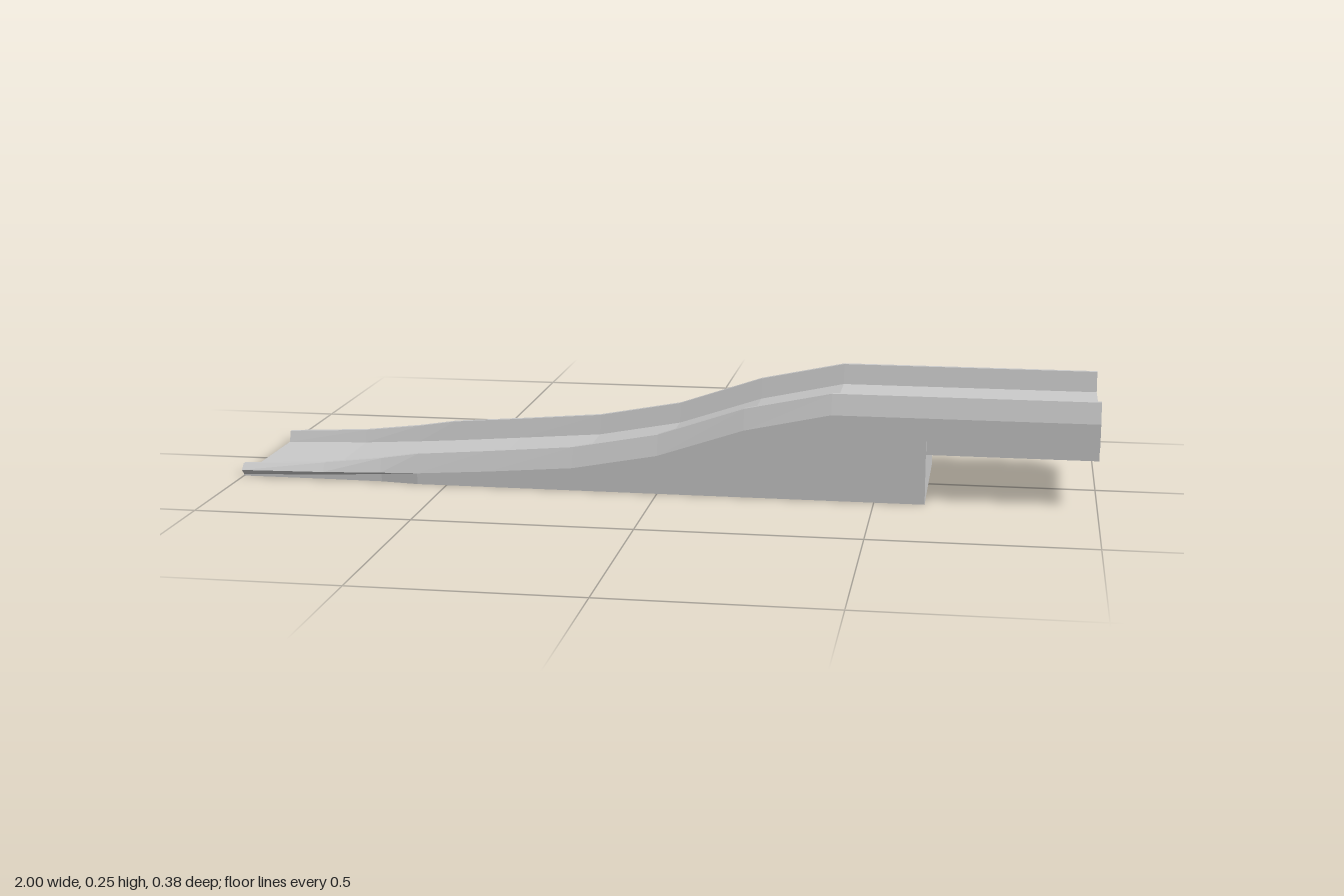
import * as THREE from 'three';

// Stations along the ramp: x, rail top, shoulder (outer rail edge), road height, wall z
const stations = [
  [-1, 0.03, 0.017, 0.004, 0.178],
  [-0.8, 0.04, 0.02, 0.01, 0.178],
  [-0.66, 0.056, 0.024, 0.018, 0.18],
  [-0.57, 0.07, 0.026, 0.024, 0.192],
  [-0.4, 0.083, 0.037, 0.037, 0.192],
  [-0.2, 0.1, 0.053, 0.053, 0.192],
  [0, 0.137, 0.09, 0.09, 0.192],
  [0.2, 0.205, 0.157, 0.157, 0.192],
  [0.4, 0.247, 0.2, 0.2, 0.192],
  [0.615, 0.247, 0.2, 0.2, 0.192],
  [1, 0.247, 0.2, 0.2, 0.192],
];
const STEP = 0.615;

const material = new THREE.MeshStandardMaterial({
  color: 0xcccccc, flatShading: true, side: THREE.DoubleSide,
});

// Joins cross-sections of [z, y] points along x into a faceted strip
function sweep(name, rows, section) {
  const pos = [];
  const rings = rows.map((s) => section(s).map(([z, y]) => [s[0], y, z]));
  for (let i = 0; i < rings.length - 1; i++) {
    for (let j = 0; j < rings[i].length - 1; j++) {
      const a = rings[i][j], b = rings[i + 1][j];
      const c = rings[i + 1][j + 1], d = rings[i][j + 1];
      pos.push(...a, ...b, ...c, ...a, ...c, ...d);
    }
  }
  const g = new THREE.BufferGeometry();
  g.setAttribute('position', new THREE.Float32BufferAttribute(pos, 3));
  g.computeVertexNormals();
  const mesh = new THREE.Mesh(g, material);
  mesh.name = name;
  return mesh;
}

const mirror = (pts) => pts.map(([z, y]) => [-z, y]).reverse();

export function createModel() {
  const group = new THREE.Group();
  group.name = 'ramp';

  // Road surface
  group.add(sweep('roadDeck', stations, ([, , , road]) => [[0.157, road], [-0.157, road]]));

  const lower = stations.filter((s) => s[0] <= STEP);
  const upper = stations.filter((s) => s[0] >= STEP);
  const sides = [['left', (p) => p], ['right', mirror]];
  for (const [side, place] of sides) {
    // Tapered guard rail
    group.add(sweep(side + 'Rail', stations, ([, top, shoulder, road]) => place([
      [0.192, shoulder], [0.178, top], [0.167, top], [0.157, road],
    ])));
    // Wall down to the ground, with a small lip where it is recessed
    group.add(sweep(side + 'Wall', lower, ([, , shoulder, road, wallZ]) => place([
      [wallZ, 0], [wallZ, Math.min(shoulder, road)], [0.192, shoulder],
    ])));
    // Stepped side of the raised platform
    group.add(sweep(side + 'PlatformSide', upper, () => place([
      [0.175, 0.112], [0.175, 0.147], [0.192, 0.147], [0.192, 0.2],
    ])));
  }

  // Underside of the platform
  group.add(sweep('platformFloor', upper, () => [[-0.175, 0.112], [0.175, 0.112]]));

  // Wall below the step, open towards the platform
  const shape = new THREE.Shape([
    [-0.192, 0], [0.192, 0], [0.192, 0.147], [0.175, 0.147],
    [0.175, 0.112], [-0.175, 0.112], [-0.175, 0.147], [-0.192, 0.147],
  ].map(([x, y]) => new THREE.Vector2(x, y)));
  const endWall = new THREE.Mesh(new THREE.ShapeGeometry(shape), material);
  endWall.name = 'endWall';
  endWall.rotation.y = Math.PI / 2;
  endWall.position.x = STEP;
  group.add(endWall);

  return group;
}
